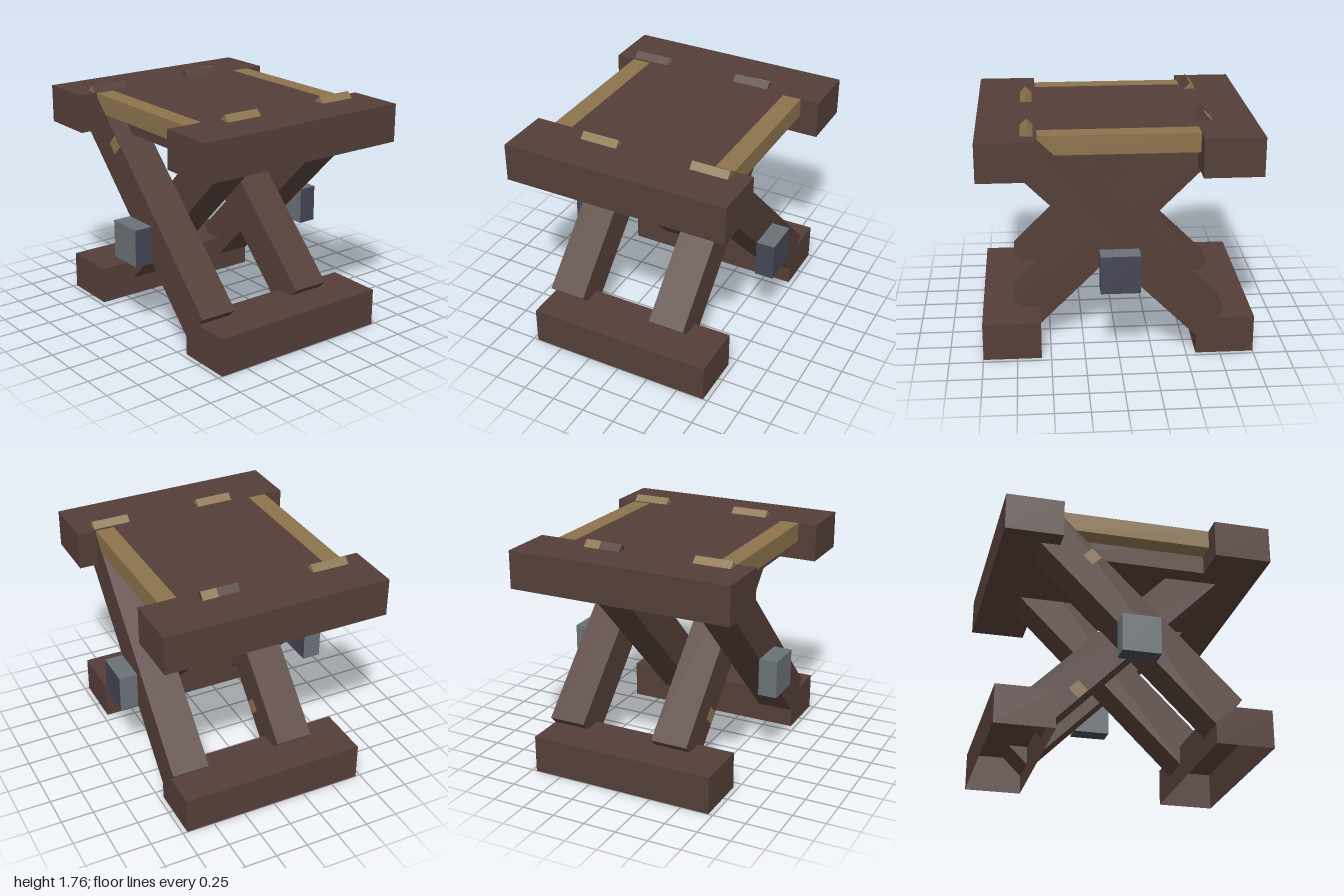
import * as THREE from 'three';

const brown = new THREE.MeshStandardMaterial({ color: 0x543e38, side: THREE.DoubleSide });
brown.name = 'darkWood';
const gold = new THREE.MeshStandardMaterial({ color: 0x8c734c });
gold.name = 'paleWood';
const grey = new THREE.MeshStandardMaterial({ color: 0x6a7277 });
grey.name = 'slateMetal';
const violet = new THREE.MeshStandardMaterial({ color: 0x464656 });
violet.name = 'violetMetal';

const U = 1 / 7; // building unit

function box(parent, name, material, size, position) {
  const mesh = new THREE.Mesh(new THREE.BoxGeometry(...size), material);
  mesh.name = name;
  mesh.position.set(...position);
  parent.add(mesh);
  return mesh;
}

// Diagonal beam with its own top tip; lean 1 has its top at -x, lean -1 at +x
function makeLeg(name, lean, z, tipMaterial) {
  const leg = new THREE.Group();
  leg.name = name;
  leg.position.set(-0.035 * lean, 0.951, z);
  leg.rotation.z = lean * Math.PI / 4;
  const tip = 0.1;
  box(leg, 'legBeam', brown, [2 * U, 2 - tip, 2 * U], [0, -tip / 2, 0]);
  box(leg, 'legTip', tipMaterial, [2 * U, tip, 2 * U], [0, 1 - tip / 2, 0]);
  return leg;
}

export function createModel() {
  const model = new THREE.Group();
  model.name = 'trestleTable';

  // Table top: centre panel, end blocks and pale edge rails
  box(model, 'topPanel', brown, [8 * U, 2 * U, 8 * U], [0, 11 * U, 0]);
  for (const s of [-1, 1]) {
    box(model, 'topEndBlock', brown, [3 * U, 2 * U, 12 * U], [s * 5.5 * U, 11 * U, 0]);
    box(model, 'edgeRail', gold, [8 * U, U, U], [0, 11.5 * U, s * 4.5 * U]);
  }

  // Feet: hollow boxes, open underneath
  for (const s of [-1, 1]) {
    const foot = box(model, 'foot', brown, [3 * U, 2 * U, 10 * U], [s * 5.5 * U, U, 0]);
    const index = Array.from(foot.geometry.index.array);
    index.splice(18, 6);
    foot.geometry.setIndex(index);
    foot.geometry.clearGroups();
  }

  // Crossed legs; the outer ones stand a hair proud of the rails
  const proud = 0.002;
  const frontLeg = makeLeg('frontOuterLeg', 1, 4 * U + proud, [brown, gold, gold, gold, gold, gold]);
  const frontInner = makeLeg('frontInnerLeg', -1, 2 * U, gold);
  const backInner = makeLeg('backInnerLeg', 1, -2 * U, brown);
  const backLeg = makeLeg('backOuterLeg', -1, -4 * U - proud, gold);
  model.add(frontLeg, frontInner, backInner, backLeg);

  // Pale patch on one leg end
  box(backInner, 'endPatch', gold, [2 * U, 0.006, 0.12], [0, 1, -0.083]);

  // Pegs through two of the legs
  for (const [x, y, z] of [[-0.33, 1.365, 4 * U + proud], [-0.36, 0.43, 2 * U]]) {
    const peg = box(model, 'peg', gold, [0.1, 0.1, 2 * U + 0.006], [x, y, z]);
    peg.rotation.z = Math.PI / 4;
  }

  // Hub blocks at the crossing, two-toned
  const hubFaces = [violet, grey, grey, violet, grey, violet];
  for (const s of [-1, 1]) {
    box(model, 'hubBlock', hubFaces, [2 * U, 2 * U, U], [0, 5 * U, s * 5.5 * U]);
  }

  return model;
}
